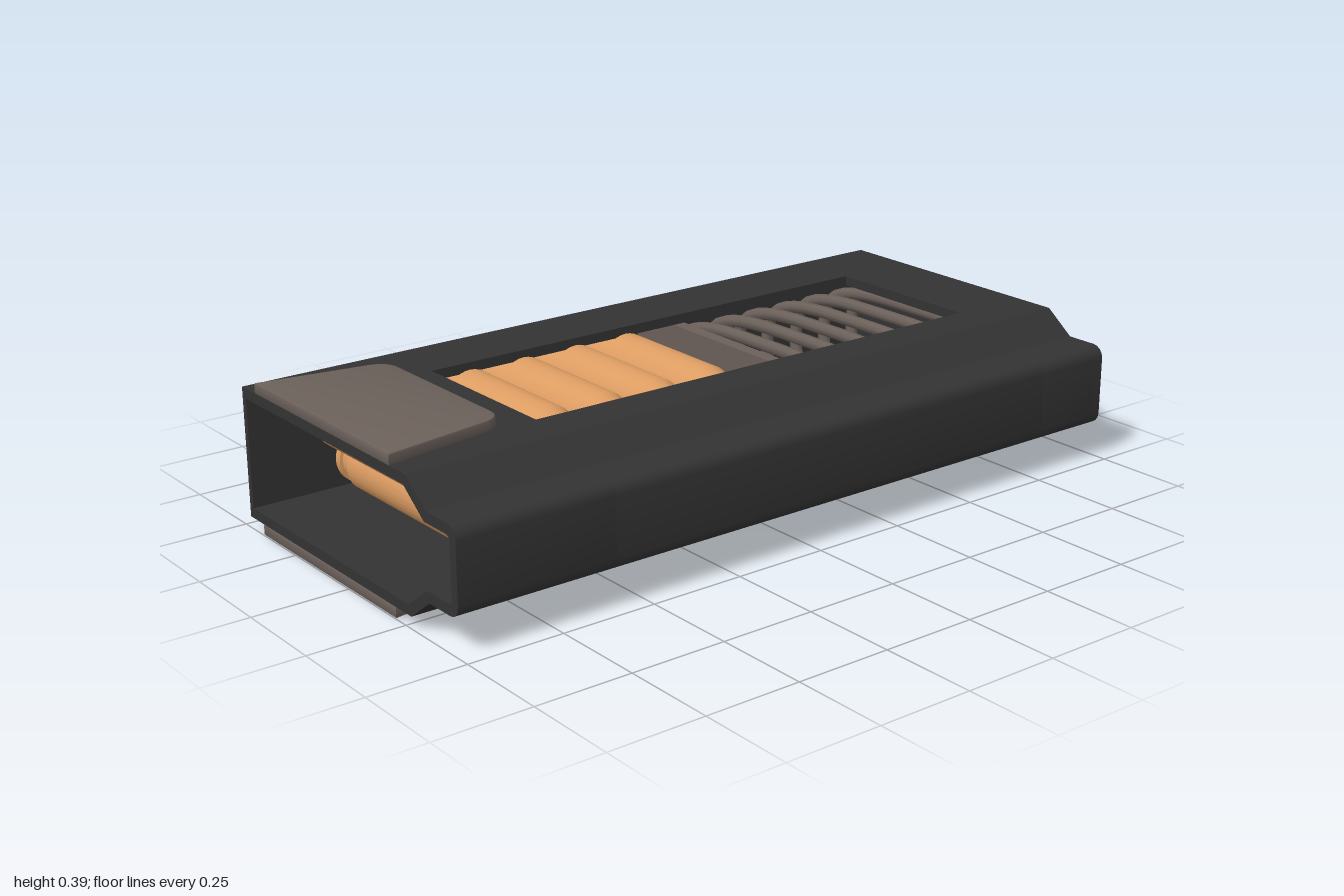
import * as THREE from 'three';
import { toCreasedNormals } from 'three/addons/utils/BufferGeometryUtils.js';

const MID = 0.1975; // height of the case's plane of symmetry
const mat = (color) => new THREE.MeshStandardMaterial({ color, side: THREE.DoubleSide });

// Right-hand half of the case section, from (x0, top) round the stepped nose to (x0, bottom)
function nosePath(x0, top, stepX, noseTop, noseX, r) {
  const upper = [[x0, top], [stepX, top], [stepX + 0.08, noseTop]];
  for (let i = 0; i <= 4; i++) {
    const a = Math.PI / 2 * (1 - i / 4);
    upper.push([noseX - r + r * Math.cos(a), noseTop - r + r * Math.sin(a)]);
  }
  const lower = upper.map(([x, y]) => [x, 2 * MID - y]).reverse();
  return [...upper, ...lower].map((p) => new THREE.Vector2(...p));
}
const outer = (x0) => nosePath(x0, 0.365, 0.275, 0.305, 0.47, 0.032);
const inner = (x0) => nosePath(x0, 0.339, 0.265, 0.278, 0.446, 0.012);

function extrudeZ(shape, z0, z1) {
  const g = new THREE.ExtrudeGeometry(shape, { depth: z1 - z0, bevelEnabled: false });
  g.translate(0, 0, z0);
  return toCreasedNormals(g, 0.5);
}

// Rounded rectangle coil wound along z
function springCurve(z0, z1, turns) {
  const pts = [], n = turns * 24;
  const pow = (v, e) => Math.sign(v) * Math.abs(v) ** e;
  for (let i = 0; i <= n; i++) {
    const a = i / 24 * Math.PI * 2;
    pts.push(new THREE.Vector3(
      -0.065 + 0.335 * pow(Math.cos(a), 0.55),
      MID + 0.118 * pow(Math.sin(a), 0.55),
      z0 + (z1 - z0) * i / n));
  }
  return new THREE.CatmullRomCurve3(pts);
}

export function createModel() {
  const model = new THREE.Group();
  const dark = mat(0x333333), grey = mat(0x6b605a), brass = mat(0xdc9c62);
  const add = (name, geometry, material, parent = model) => {
    const m = new THREE.Mesh(geometry, material);
    m.name = name;
    parent.add(m);
    return m;
  };

  // Case: closed rings at both ends, split sides along the window
  const body = new THREE.Group();
  body.name = 'case';
  model.add(body);
  const ring = new THREE.Shape(outer(-0.47));
  ring.holes.push(new THREE.Path(inner(-0.454)));
  const right = new THREE.Shape([...outer(0.16), ...inner(0.16).reverse()]);
  const left = new THREE.Shape([
    [-0.29, 0.365], [-0.47, 0.365], [-0.47, 0.03], [-0.29, 0.03],
    [-0.29, 0.056], [-0.454, 0.056], [-0.454, 0.339], [-0.29, 0.339],
  ].map((p) => new THREE.Vector2(...p)));
  add('frontSleeve', extrudeZ(ring, 0.58, 1), dark, body);
  add('leftRail', extrudeZ(right, -0.78, 0.58), dark, body);
  add('rightRail', extrudeZ(left, -0.78, 0.58), dark, body);
  add('rearSleeve', extrudeZ(ring, -0.975, -0.78), dark, body);
  add('rearWall', extrudeZ(new THREE.Shape(outer(-0.47)), -1, -0.975), dark, body);

  // Follower plate pushed by the spring
  add('follower', extrudeZ(new THREE.Shape(inner(-0.452)), -0.205, -0.17), grey);
  add('spring', new THREE.TubeGeometry(springCurve(-0.96, -0.215, 7), 336, 0.017, 8), grey);

  // Cartridges: lathe profile of [radius, distance along x]
  const profile = [
    [0, -0.435], [0.068, -0.435], [0.07, -0.43], [0.07, -0.412], [0.062, -0.41],
    [0.062, -0.372], [0.076, -0.368], [0.075, 0.05], [0.051, 0.12], [0.048, 0.24],
    [0.039, 0.241], [0.035, 0.29], [0.028, 0.34], [0.018, 0.39], [0.007, 0.43], [0, 0.443],
  ].map((p) => new THREE.Vector2(...p));
  const round = toCreasedNormals(new THREE.LatheGeometry(profile, 32).rotateZ(-Math.PI / 2), 0.35);
  const rounds = new THREE.Group();
  rounds.name = 'cartridges';
  model.add(rounds);
  for (let i = 0; i < 6; i++) {
    add('lowerCartridge', round, brass, rounds).position.set(0, 0.137, -0.09 + 0.16 * i);
    add('upperCartridge', round, brass, rounds).position.set(0, 0.27, -0.01 + 0.16 * i);
  }

  // Tapered grip plates above and below the mouth
  const tab = new THREE.Shape();
  tab.moveTo(-0.4, -0.995);
  tab.lineTo(0.203, -0.995);
  tab.lineTo(0.157, -0.72);
  tab.quadraticCurveTo(0.148, -0.672, 0.105, -0.672);
  tab.lineTo(-0.302, -0.672);
  tab.quadraticCurveTo(-0.345, -0.672, -0.354, -0.72);
  tab.closePath();
  const plate = new THREE.ExtrudeGeometry(tab, {
    depth: 0.02, bevelThickness: 0.005, bevelSize: 0.005, bevelSegments: 2,
  }).rotateX(-Math.PI / 2);
  const tabGeometry = toCreasedNormals(plate, 0.6);
  add('topGripPlate', tabGeometry, grey).position.y = 0.367;
  add('bottomGripPlate', tabGeometry, grey).position.y = 0.005;
  return model;
}
